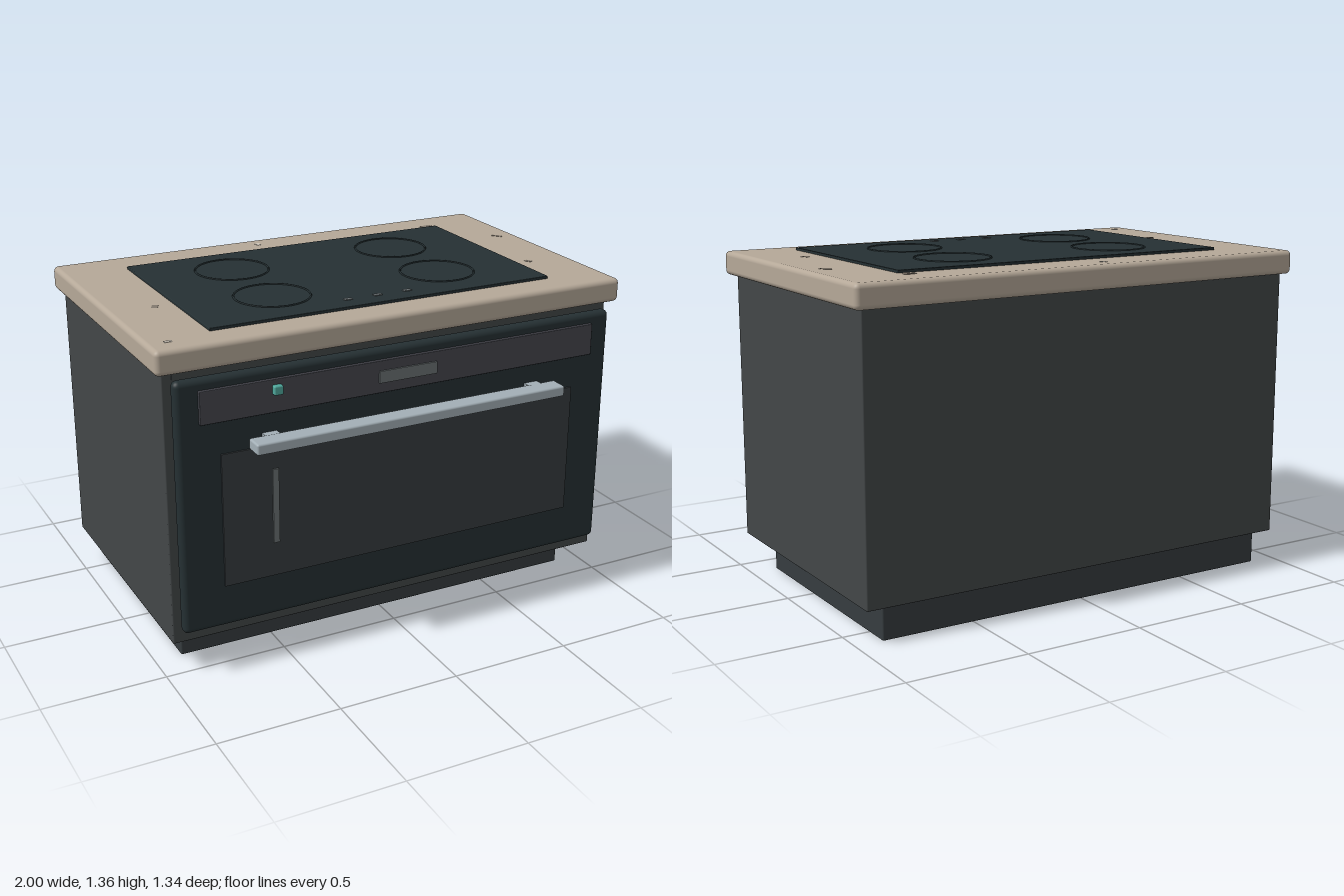
import * as THREE from 'three';
import { RoundedBoxGeometry } from 'three/addons/geometries/RoundedBoxGeometry.js';

const paint = (color) => new THREE.MeshStandardMaterial({ color });

const mats = {
  body: paint(0x434748),
  plinth: paint(0x363c3f),
  stone: paint(0xb5a898),
  glass: paint(0x253033),
  control: paint(0x45464d),
  window: paint(0x373c3f),
  metal: paint(0xa3afb6),
  display: paint(0x6a7173),
  teal: paint(0x4fa89c),
  chipDark: paint(0x82796e),
  chipLight: paint(0xd8d0c4),
};

export function createModel() {
  const model = new THREE.Group();
  model.name = 'cooker';

  // Box given by its limits on each axis, with an optional edge radius
  function block(name, mat, [x0, x1], [y0, y1], [z0, z1], radius = 0) {
    const size = [x1 - x0, y1 - y0, z1 - z0];
    const geometry = radius
      ? new RoundedBoxGeometry(...size, 3, radius)
      : new THREE.BoxGeometry(...size);
    const mesh = new THREE.Mesh(geometry, mat);
    mesh.name = name;
    mesh.position.set((x0 + x1) / 2, (y0 + y1) / 2, (z0 + z1) / 2);
    model.add(mesh);
    return mesh;
  }

  // Cabinet
  block('plinth', mats.plinth, [-0.89, 0.89], [0, 0.14], [-0.615, 0.375], 0.006);
  block('cabinet', mats.body, [-0.965, 0.965], [0.135, 1.25], [-0.64, 0.5], 0.005);
  block('doorSeal', mats.body, [-0.925, 0.925], [0.18, 1.235], [0.49, 0.502]);
  block('countertop', mats.stone, [-1, 1], [1.243, 1.34], [-0.67, 0.547], 0.02);

  // Oven door with its control strip and window
  block('ovenDoor', mats.glass, [-0.942, 0.942], [0.2, 1.22], [0.516, 0.566], 0.022);
  block('controlPanel', mats.control, [-0.852, 0.852], [1.048, 1.178], [0.55, 0.581], 0.003);
  block('controlDisplay', mats.display, [-0.125, 0.125], [1.09, 1.138], [0.575, 0.588]);
  block('powerButton', mats.teal, [-0.567, -0.53], [1.12, 1.157], [0.575, 0.601], 0.006);
  block('ovenWindow', mats.window, [-0.772, 0.772], [0.374, 0.917], [0.555, 0.573]);
  block('windowGlint', mats.display, [-0.57, -0.545], [0.515, 0.82], [0.57, 0.579]);

  // Handle bar on two brackets
  block('handleBar', mats.metal, [-0.67, 0.67], [0.928, 0.972], [0.592, 0.67], 0.008);
  for (const x of [-0.575, 0.575]) {
    block('handleBracket', mats.metal, [x - 0.03, x + 0.03], [0.932, 0.97], [0.555, 0.6]);
  }

  // Hob with four ring marks and three touch keys
  block('hobGlass', mats.glass, [-0.738, 0.738], [1.33, 1.351], [-0.487, 0.415], 0.003);
  const ringGeometry = new THREE.TorusGeometry(0.151, 0.004, 6, 48).rotateX(Math.PI / 2);
  for (const x of [-0.37, 0.37]) {
    for (const z of [-0.245, 0.153]) {
      const ring = new THREE.Mesh(ringGeometry, mats.glass);
      ring.name = 'burnerRing';
      ring.position.set(x, 1.352, z);
      model.add(ring);
    }
  }
  for (const x of [-0.13, 0, 0.13]) {
    block('touchKey', mats.display, [x - 0.017, x + 0.017], [1.345, 1.354], [0.321, 0.341]);
  }

  // Small chips in the worktop: x, z, length, width, turn, material
  const chips = [
    [-0.1, -0.59, 0.02, 0.025, 0.2, mats.chipLight],
    [-0.915, 0.455, 0.03, 0.016, 0, mats.chipLight],
    [0.71, -0.527, 0.05, 0.022, 0.2, mats.chipDark],
    [0.91, -0.24, 0.05, 0.014, -0.9, mats.chipDark],
    [0.81, 0.165, 0.03, 0.018, -1, mats.chipDark],
    [-0.815, 0.05, 0.035, 0.025, 1.1, mats.chipDark],
  ];
  for (const [x, z, length, width, turn, mat] of chips) {
    const chip = block('worktopChip', mat,
      [x - length / 2, x + length / 2], [1.335, 1.3415], [z - width / 2, z + width / 2]);
    chip.rotation.y = turn;
  }

  return model;
}
